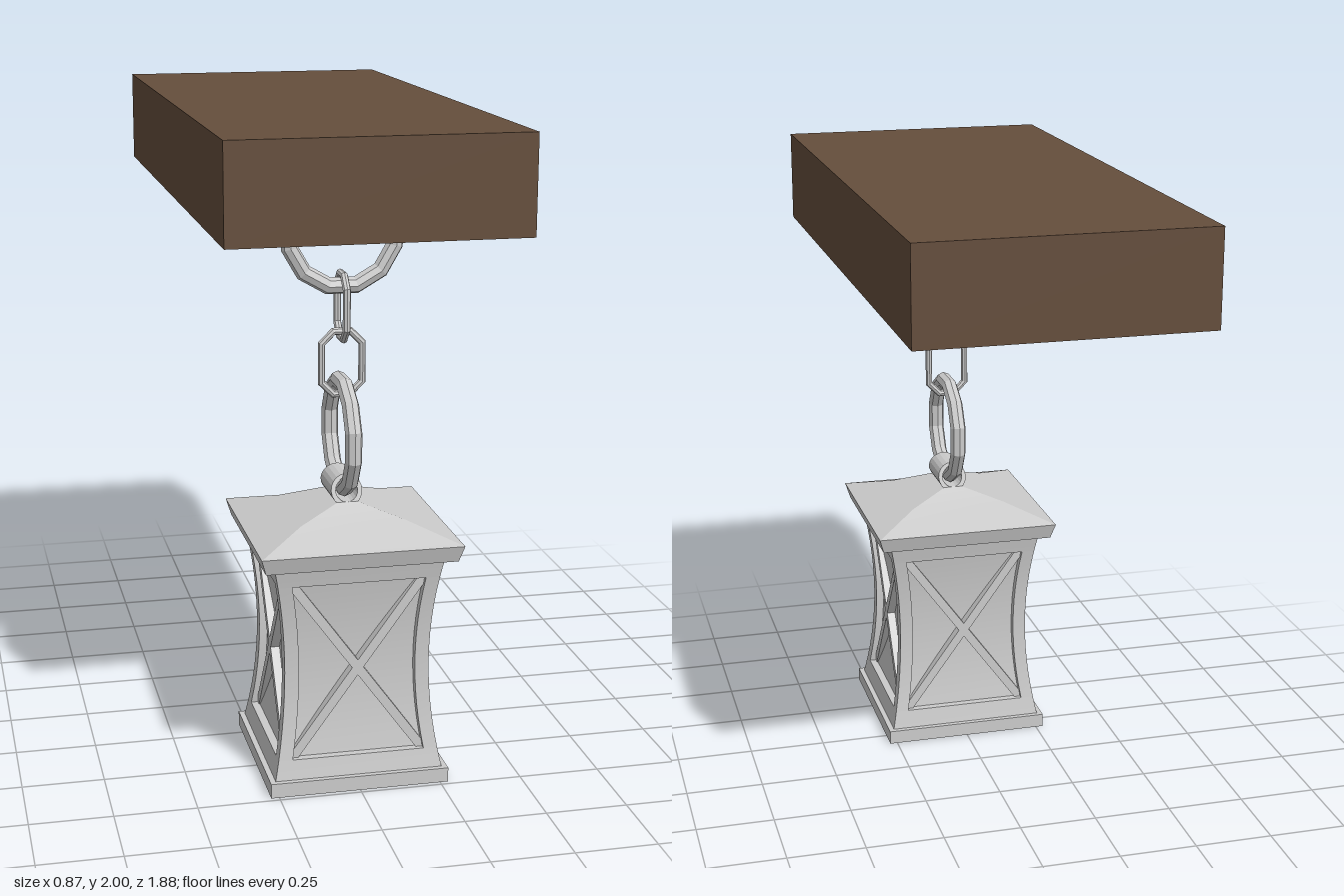
import * as THREE from 'three';

const grey = new THREE.MeshStandardMaterial({ color: 0xcccccc });
const greyFlat = new THREE.MeshStandardMaterial({ color: 0xcccccc, flatShading: true });
const wood = new THREE.MeshStandardMaterial({ color: 0x654e3c });

function add(parent, name, geometry, material = grey) {
  const mesh = new THREE.Mesh(geometry, material);
  mesh.name = name;
  parent.add(mesh);
  return mesh;
}

// Half width of the waisted body at height y
const bodyHalf = (y) => 0.222 + 0.036 * ((y - 0.38) / 0.335) ** 2;

// Box between two heights whose corners are moved by place(u, v, y, t), u and v in -1..1
function warpedBox(y0, y1, segments, place) {
  const geo = new THREE.BoxGeometry(2, 1, 2, 1, segments, 1);
  const p = geo.attributes.position;
  for (let i = 0; i < p.count; i++) {
    const t = p.getY(i) + 0.5;
    const y = y0 + (y1 - y0) * t;
    const [x, z, h = y] = place(p.getX(i), p.getZ(i), y, t);
    p.setXYZ(i, x, h, z);
  }
  geo.computeVertexNormals();
  return geo;
}

// Faceted ring with flat sides, optionally stretched upright into a chain link
function ring(apothem, tube, sides, stretch = 0, count = sides) {
  const half = Math.PI / sides;
  const geo = new THREE.TorusGeometry(apothem / Math.cos(half), tube, 8, count, (count * 2 * Math.PI) / sides);
  geo.rotateZ(count === sides ? half : Math.PI - half);
  const p = geo.attributes.position;
  for (let i = 0; i < p.count; i++) p.setY(i, p.getY(i) + Math.sign(p.getY(i)) * stretch);
  geo.computeVertexNormals();
  return geo;
}

export function createModel() {
  const model = new THREE.Group();
  model.name = 'hangingLantern';

  add(model, 'beam', new THREE.BoxGeometry(0.87, 0.29, 1.88), wood).position.y = 1.855;

  const hanging = new THREE.Group();
  hanging.name = 'hangingParts';
  hanging.position.z = 0.46;
  model.add(hanging);

  // Hook, two links and the carrying ring, alternating planes
  add(hanging, 'hook', ring(0.159, 0.026, 12, 0.02, 7), greyFlat).position.y = 1.68;
  const upper = add(hanging, 'upperLink', ring(0.062, 0.012, 8, 0.034), greyFlat);
  upper.position.y = 1.438;
  upper.rotation.y = Math.PI / 2;
  add(hanging, 'lowerLink', ring(0.062, 0.012, 8, 0.034), greyFlat).position.y = 1.266;
  const carry = add(hanging, 'carryingRing', ring(0.159, 0.026, 12), greyFlat);
  carry.position.y = 1.045;
  carry.rotation.y = Math.PI / 2;

  // Sleeve that holds the ring, narrower along its top
  const outline = new THREE.Shape().absarc(0, 0, 0.048, 0, Math.PI * 2);
  outline.holes.push(new THREE.Path().absarc(0, 0, 0.034, 0, Math.PI * 2, true));
  const sleeve = new THREE.ExtrudeGeometry(outline, { depth: 2, bevelEnabled: false, curveSegments: 10 });
  const sp = sleeve.attributes.position;
  for (let i = 0; i < sp.count; i++) {
    sp.setZ(i, (sp.getZ(i) - 1) * (0.073 - 0.3 * sp.getY(i)));
  }
  sleeve.computeVertexNormals();
  add(hanging, 'ringSleeve', sleeve).position.y = 0.888;

  // Base, eave and roof
  add(hanging, 'base', new THREE.BoxGeometry(0.55, 0.045, 0.55)).position.y = 0.0225;
  add(hanging, 'eave', warpedBox(0.715, 0.765, 1, (u, v, y, t) => {
    const h = 0.29 + 0.015 * t;
    return [u * h, v * h];
  }));
  const roofLevels = [[0.305, 0.305, 0.765], [0.16, 0.16, 0.812], [0.025, 0.08, 0.856]];
  add(hanging, 'roof', warpedBox(0, 1, 2, (u, v, y, t) => {
    const [hx, hz, h] = roofLevels[Math.round(t * 2)];
    return [u * hx, v * hz, h];
  }));

  // Body: recessed panes, top and bottom rails, four curved posts
  const square = (inset) => (u, v, y) => [u * (bodyHalf(y) - inset), v * (bodyHalf(y) - inset)];
  add(hanging, 'panes', warpedBox(0.1, 0.66, 12, square(0.025)));
  add(hanging, 'bottomRail', warpedBox(0.045, 0.105, 2, square(0)));
  add(hanging, 'topRail', warpedBox(0.655, 0.715, 2, square(0)));
  for (const sx of [-1, 1]) {
    for (const sz of [-1, 1]) {
      add(hanging, 'cornerPost', warpedBox(0.105, 0.655, 12, (u, v, y) => {
        const mid = bodyHalf(y) - 0.0215;
        return [sx * mid + u * 0.0215, sz * mid + v * 0.0215];
      }));
    }
  }

  // Crossed straight bars over each pane
  for (let side = 0; side < 4; side++) {
    const cross = new THREE.Group();
    cross.name = 'crossBars';
    cross.rotation.y = (side * Math.PI) / 2;
    hanging.add(cross);
    const front = side % 2 ? 0.225 : 0.231;
    for (const s of [-1, 1]) {
      const bar = add(cross, 'crossBar', new THREE.BoxGeometry(0.028, 0.69, 0.036));
      bar.position.set(0, 0.38, front - 0.018);
      bar.rotation.z = s * Math.atan2(0.4, 0.55);
    }
  }
  return model;
}
